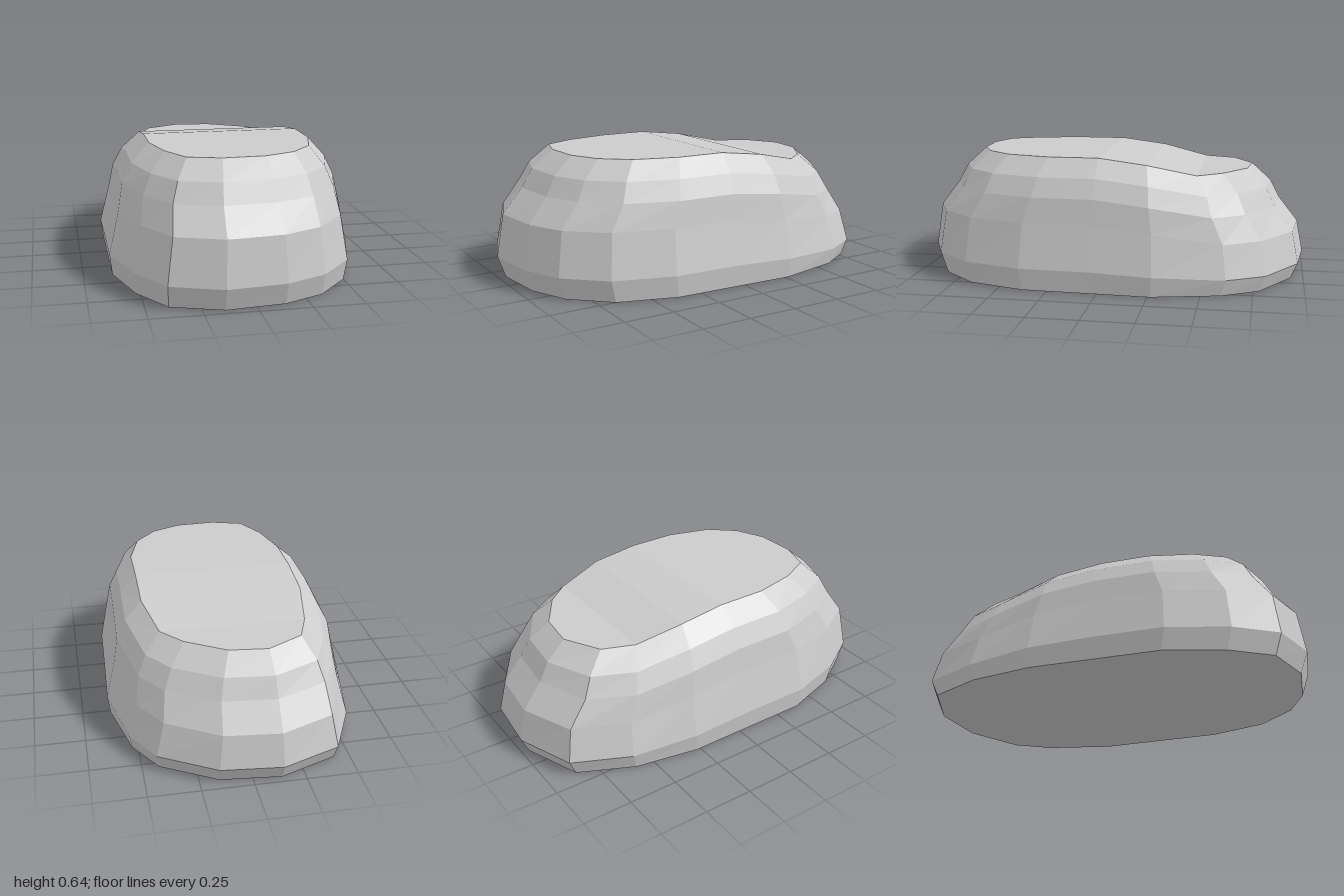
import * as THREE from 'three';

// Columns around the body, clockwise from the back: outer x, z and rim x, z
const columns = [
  [-0.14, -1.0, -0.12, -0.72], [0.16, -0.97, 0.07, -0.7], [0.43, -0.81, 0.26, -0.58],
  [0.54, -0.62, 0.36, -0.46], [0.62, -0.27, 0.42, -0.22], [0.61, 0.03, 0.42, 0.02],
  [0.6, 0.39, 0.42, 0.27], [0.51, 0.69, 0.36, 0.49], [0.34, 0.88, 0.25, 0.62],
  [0.14, 0.97, 0.1, 0.69], [-0.15, 1.0, -0.11, 0.7], [-0.4, 0.91, -0.27, 0.65],
  [-0.53, 0.7, -0.35, 0.49], [-0.62, 0.4, -0.4, 0.27], [-0.62, 0.03, -0.4, 0.02],
  [-0.62, -0.28, -0.4, -0.22], [-0.56, -0.61, -0.36, -0.46], [-0.43, -0.89, -0.3, -0.62],
];

// Levels: height, inward step in x and z (0 outer, 1 rim), share of the rear drop
const levels = [
  [0, 0.06, 0.13, 0], [0.11, 0, 0, 0.35], [0.33, 0.23, 0.12, 1],
  [0.455, 0.34, 0.47, 1], [0.55, 0.57, 0.65, 1], [0.64, 1, 1, 1],
];

function makeMesh(name, positions, index) {
  const geometry = new THREE.BufferGeometry();
  geometry.setAttribute('position', new THREE.Float32BufferAttribute(positions, 3));
  geometry.setIndex(index);
  geometry.computeVertexNormals();
  const mesh = new THREE.Mesh(geometry,
    new THREE.MeshStandardMaterial({ color: 0xcccccc, flatShading: true }));
  mesh.name = name;
  return mesh;
}

export function createModel() {
  const group = new THREE.Group();
  group.name = 'roundedBody';
  const n = columns.length;
  const rings = levels.map(([y, tx, tz, share]) => columns.flatMap(([ox, oz, rx, rz]) => {
    const drop = 0.085 * THREE.MathUtils.clamp((-rz - 0.09) / 0.36, 0, 1);
    return [
      THREE.MathUtils.lerp(ox, rx, tx), y - drop * share, THREE.MathUtils.lerp(oz, rz, tz),
    ];
  }));

  // Faceted side wall
  const wall = [];
  for (let r = 0; r < levels.length - 1; r++) {
    for (let i = 0; i < n; i++) {
      const a = r * n + i, b = r * n + (i + 1) % n;
      wall.push(a, a + n, b, b, a + n, b + n);
    }
  }
  group.add(makeMesh('sideWall', rings.flat(), wall));

  // Caps made of strips running from the left to the right column
  const top = [];
  for (let i = 1; i < n / 2; i++) {
    const left = (n + 1 - i) % n, nextLeft = n - i;
    top.push(i, left, i + 1, i + 1, left, nextLeft);
  }
  group.add(makeMesh('topSurface', rings[levels.length - 1], top));
  group.add(makeMesh('base', rings[0], [...top].reverse()));
  return group;
}
